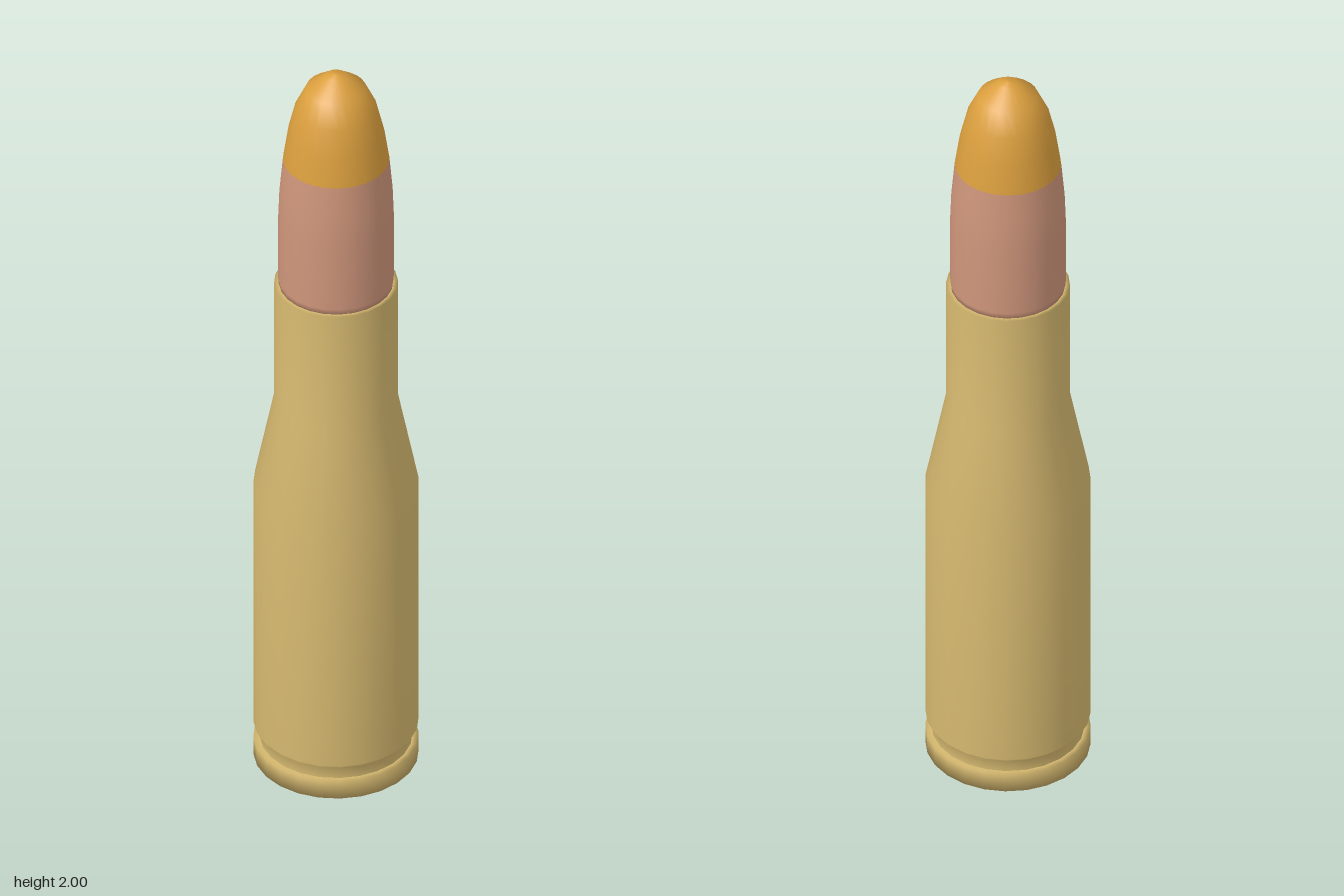
import * as THREE from 'three';

const SIDES = 24;

// Smooth turned part from [radius, height] pairs, listed bottom to top
function turned(name, profile, material) {
  const points = profile.map(([r, y]) => new THREE.Vector2(r, y));
  const mesh = new THREE.Mesh(new THREE.LatheGeometry(points, SIDES), material);
  mesh.name = name;
  return mesh;
}

function flat(name, color) {
  const material = new THREE.MeshStandardMaterial({ color });
  material.name = name;
  return material;
}

export function createModel() {
  const brass = flat('brass', 0xd6b970);
  const copper = flat('copper', 0xcf967b);
  const amber = flat('amber', 0xdb9f3e);

  const group = new THREE.Group();
  group.name = 'cartridge';

  // Extractor rim with its flat base
  group.add(turned('rim', [[0, 0], [0.2, 0], [0.2, 0.05], [0.185, 0.05]], brass));

  // Case: groove, body, sloped shoulder, neck and mouth
  group.add(turned('case', [
    [0.185, 0.05], [0.185, 0.08], [0.2, 0.095], [0.2, 0.8],
    [0.15, 1.05], [0.15, 1.385], [0.138, 1.385],
  ], brass));

  // Bullet jacket, closed underneath
  group.add(turned('bulletJacket', [
    [0, 1.38], [0.138, 1.38], [0.14, 1.4], [0.14, 1.58], [0.137, 1.66], [0.129, 1.75],
  ], copper));

  // Rounded tip
  group.add(turned('bulletTip', [
    [0.129, 1.75], [0.117, 1.83], [0.1, 1.9], [0.073, 1.957], [0.025, 1.994], [0, 2],
  ], amber));

  return group;
}
